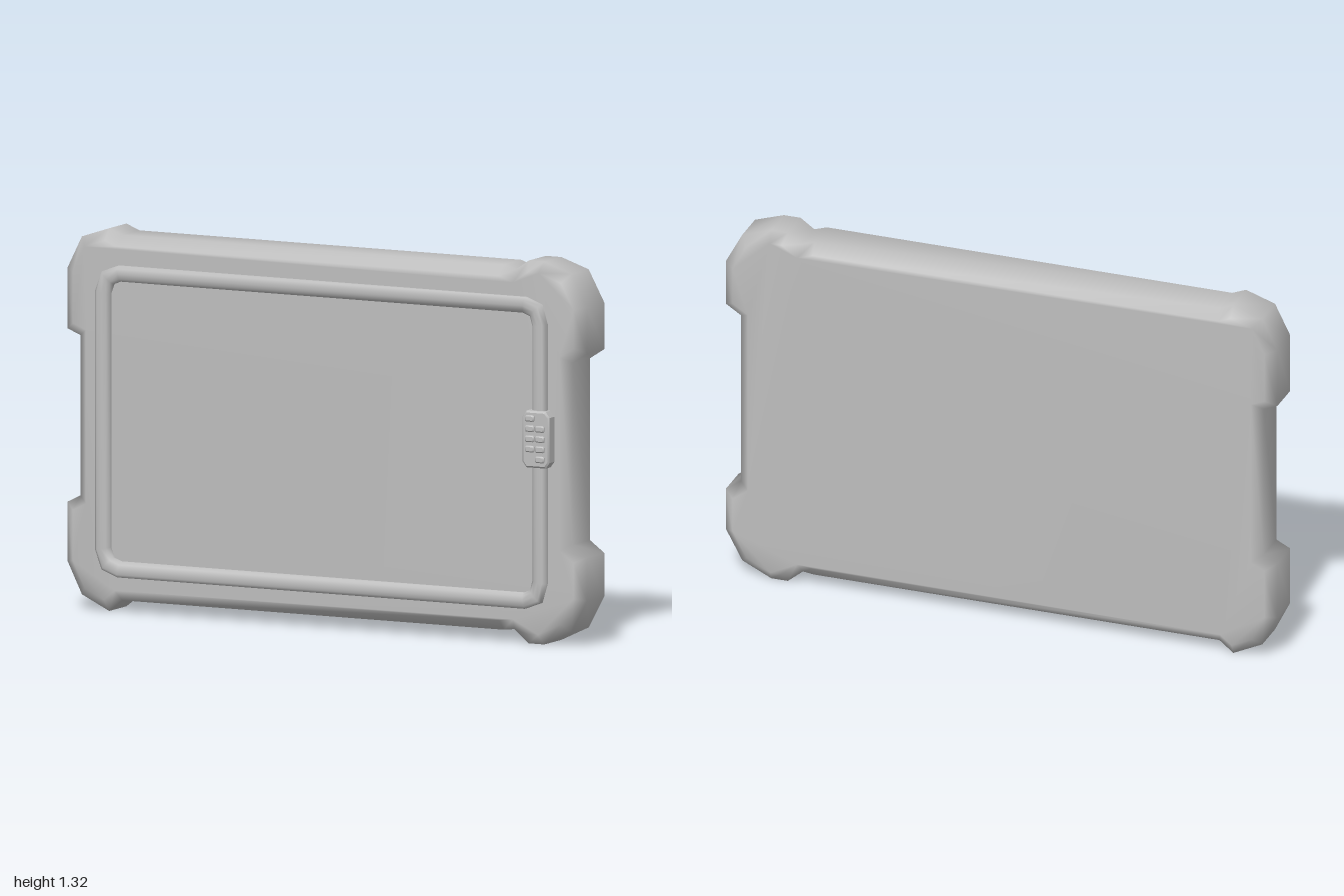
import * as THREE from 'three';
import { toCreasedNormals } from 'three/addons/utils/BufferGeometryUtils.js';

// Moves a counter-clockwise outline inward by d, mitring its corners
function inset(outline, d) {
  const n = outline.length;
  const normal = (a, b) => {
    const l = Math.hypot(b[0] - a[0], b[1] - a[1]);
    return [(a[1] - b[1]) / l, (b[0] - a[0]) / l];
  };
  return outline.map((p, i) => {
    const u = normal(outline[(i + n - 1) % n], p);
    const v = normal(p, outline[(i + 1) % n]);
    const k = d / (1 + u[0] * v[0] + u[1] * v[1]);
    return [p[0] + k * (u[0] + v[0]), p[1] + k * (u[1] + v[1])];
  });
}

// Lofts an outline through [inset, z] steps, optionally closing both ends
function loft(outline, steps, capped) {
  const n = outline.length, pos = [], index = [];
  steps.forEach(([d, z]) => inset(outline, d).forEach(([x, y]) => pos.push(x, y, z)));
  for (let k = 0; k < steps.length - 1; k++) {
    for (let i = 0; i < n; i++) {
      const j = (i + 1) % n, a = k * n, b = a + n;
      index.push(a + i, a + j, b + j, a + i, b + j, b + i);
    }
  }
  if (capped) {
    const top = (steps.length - 1) * n;
    const flat = inset(outline, steps[0][0]).map(p => new THREE.Vector2(...p));
    for (const [a, b, c] of THREE.ShapeUtils.triangulateShape(flat, [])) {
      index.push(c, b, a, top + a, top + b, top + c);
    }
  }
  const g = new THREE.BufferGeometry();
  g.setAttribute('position', new THREE.Float32BufferAttribute(pos, 3));
  g.setIndex(index);
  g.computeVertexNormals();
  return g;
}

// Rectangle with cut corners, counter-clockwise
function cutRect(x0, x1, y0, y1, cx, cy) {
  return [[x0 + cx, y0], [x1 - cx, y0], [x1, y0 + cy], [x1, y1 - cy],
    [x1 - cx, y1], [x0 + cx, y1], [x0, y1 - cy], [x0, y0 + cy]];
}

export function createModel() {
  const group = new THREE.Group();
  const grey = new THREE.MeshStandardMaterial({ name: 'grey', color: 0xbebebe });
  const add = (name, geometry) => {
    const mesh = new THREE.Mesh(geometry, grey);
    mesh.name = name;
    group.add(mesh);
    return mesh;
  };

  // Case body with four bulging corner bumpers
  const body = [
    [-0.84, 0], [-0.79, 0.04], [0.68, 0.04], [0.72, 0.045], [0.775, 0], [0.835, 0],
    [0.94, 0.05], [1, 0.16], [1, 0.31], [0.945, 0.35], [0.945, 0.975], [1, 1.01],
    [1, 1.17], [0.94, 1.28], [0.835, 1.315], [0.775, 1.315], [0.725, 1.28], [0.68, 1.295],
    [-0.79, 1.295], [-0.84, 1.315], [-0.945, 1.28], [-1, 1.17], [-1, 0.96], [-0.95, 0.94],
    [-0.95, 0.39], [-1, 0.365], [-1, 0.16], [-0.945, 0.05],
  ];
  add('caseBody', loft(body,
    [[0.036, -0.115], [0, -0.085], [0, 0.04], [0.036, 0.07]], true));

  // Raised rim around the screen, its corners turned in two steps
  const rim = [
    [-0.785, 0.125], [0.785, 0.125], [0.845, 0.148], [0.865, 0.215],
    [0.865, 1.105], [0.845, 1.172], [0.785, 1.195], [-0.785, 1.195],
    [-0.845, 1.172], [-0.87, 1.105], [-0.87, 0.215], [-0.845, 0.148],
  ];
  add('screenRim', loft(rim, [[0, 0.065], [0, 0.086], [0.01, 0.094],
    [0.028, 0.095], [0.044, 0.091], [0.054, 0.08], [0.054, 0.065]], false));

  // Latch on the rim
  const latch = loft(cutRect(0.786, 0.89, 0.615, 0.81, 0.015, 0.02),
    [[0, 0.065], [0, 0.104], [0.006, 0.11]], true);
  add('latch', toCreasedNormals(latch, 0.6));

  // Two staggered columns of grip ridges on the latch
  for (const [x, ys] of [[0.818, [0.68, 0.715, 0.75, 0.785]], [0.857, [0.645, 0.68, 0.715, 0.75]]]) {
    for (const y of ys) {
      const ridge = loft(cutRect(x - 0.017, x + 0.017, y - 0.011, y + 0.011, 0.004, 0.004),
        [[0, 0.105], [0, 0.115], [0.004, 0.119]], true);
      add('gripRidge', toCreasedNormals(ridge, 0.6));
    }
  }
  return group;
}
